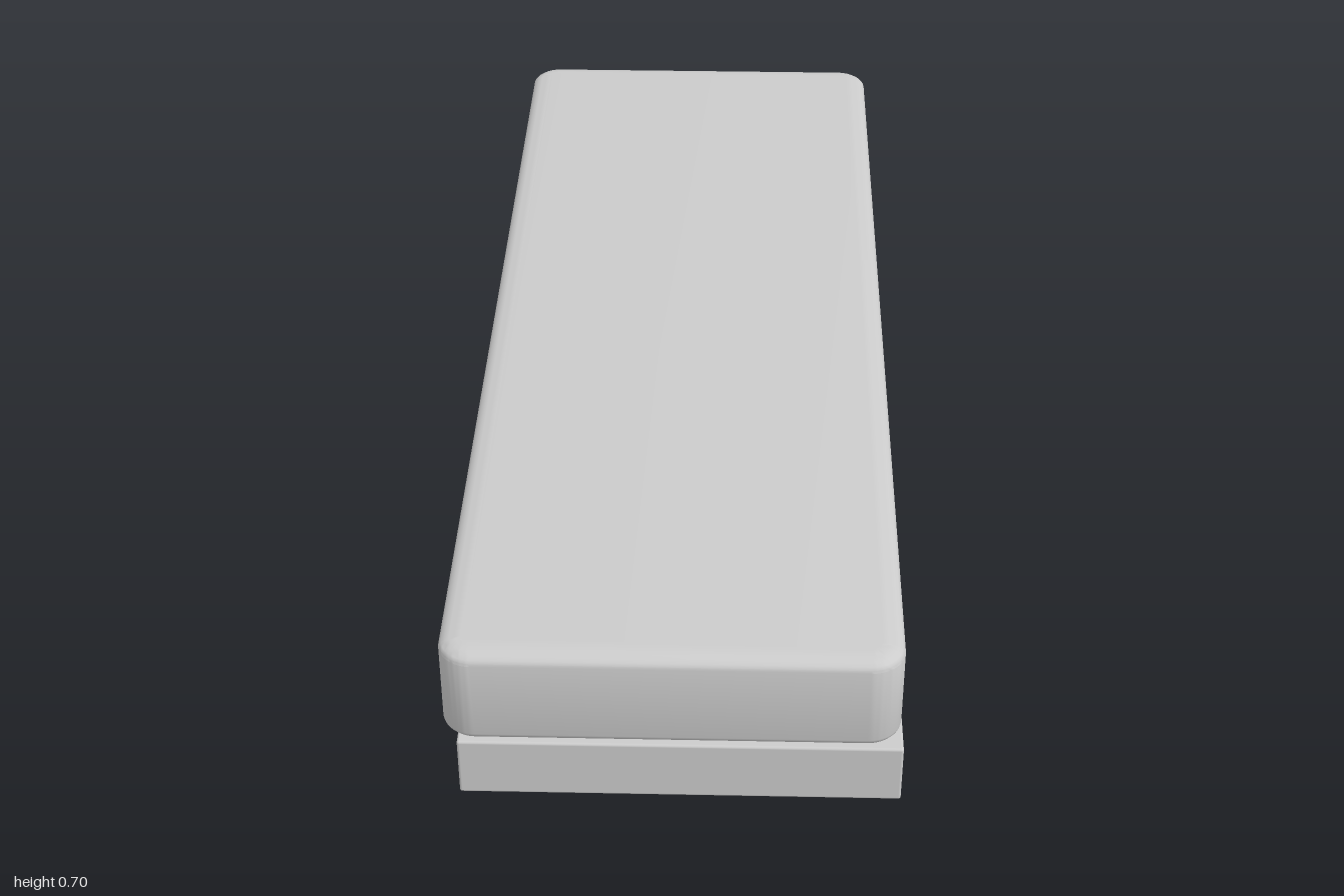
import * as THREE from 'three';
import { toCreasedNormals } from 'three/addons/utils/BufferGeometryUtils.js';
import { RoundedBoxGeometry } from 'three/addons/geometries/RoundedBoxGeometry.js';

const material = new THREE.MeshStandardMaterial({ color: 0xcccccc });

function addPart(group, name, geometry) {
  const mesh = new THREE.Mesh(geometry, material);
  mesh.name = name;
  group.add(mesh);
}

// Box whose bottom and top rectangles have different half sizes
function frustum(y0, [x0, z0], y1, [x1, z1]) {
  const g = new THREE.BoxGeometry(2, 2, 2);
  const p = g.attributes.position;
  for (let i = 0; i < p.count; i++) {
    const top = p.getY(i) > 0;
    p.setXYZ(i, p.getX(i) * (top ? x1 : x0), top ? y1 : y0, p.getZ(i) * (top ? z1 : z0));
  }
  g.computeVertexNormals();
  return g;
}

// Slab with rounded corners in plan and softened upper and lower edges
function roundedSlab(hx, hz, y0, y1, corner, bevelSize, bevelThickness) {
  const x = hx - bevelSize, z = hz - bevelSize, r = corner - bevelSize;
  const s = new THREE.Shape();
  s.absarc(x - r, z - r, r, 0, Math.PI / 2);
  s.absarc(-x + r, z - r, r, Math.PI / 2, Math.PI);
  s.absarc(-x + r, -z + r, r, Math.PI, Math.PI * 1.5);
  s.absarc(x - r, -z + r, r, Math.PI * 1.5, Math.PI * 2);
  const g = new THREE.ExtrudeGeometry(s, {
    depth: y1 - y0 - 2 * bevelThickness, bevelSize, bevelThickness, bevelSegments: 6, curveSegments: 8,
  });
  g.rotateX(-Math.PI / 2).translate(0, y0 + bevelThickness, 0);
  return toCreasedNormals(g, 0.6);
}

export function createModel() {
  const group = new THREE.Group();
  group.name = 'pedestalKnob';

  // Mounting plate
  const plate = new RoundedBoxGeometry(0.806, 0.122, 1.1, 3, 0.005);
  addPart(group, 'basePlate', plate.translate(0, 0.061, 0));

  // Stem with a tiny flare at its foot
  addPart(group, 'stem', frustum(0.11, [0.185, 0.138], 0.45, [0.185, 0.138]));
  addPart(group, 'stemFoot', frustum(0.12, [0.195, 0.148], 0.128, [0.185, 0.138]));

  // Flared underside and the shallow step where it meets the slab
  addPart(group, 'flare', frustum(0.434, [0.185, 0.138], 0.528, [0.29, 0.89]));
  addPart(group, 'flareRim', frustum(0.526, [0.29, 0.89], 0.536, [0.335, 0.965]));

  // Gripping slab
  addPart(group, 'topSlab', roundedSlab(0.357, 1, 0.532, 0.703, 0.055, 0.035, 0.018));
  return group;
}
